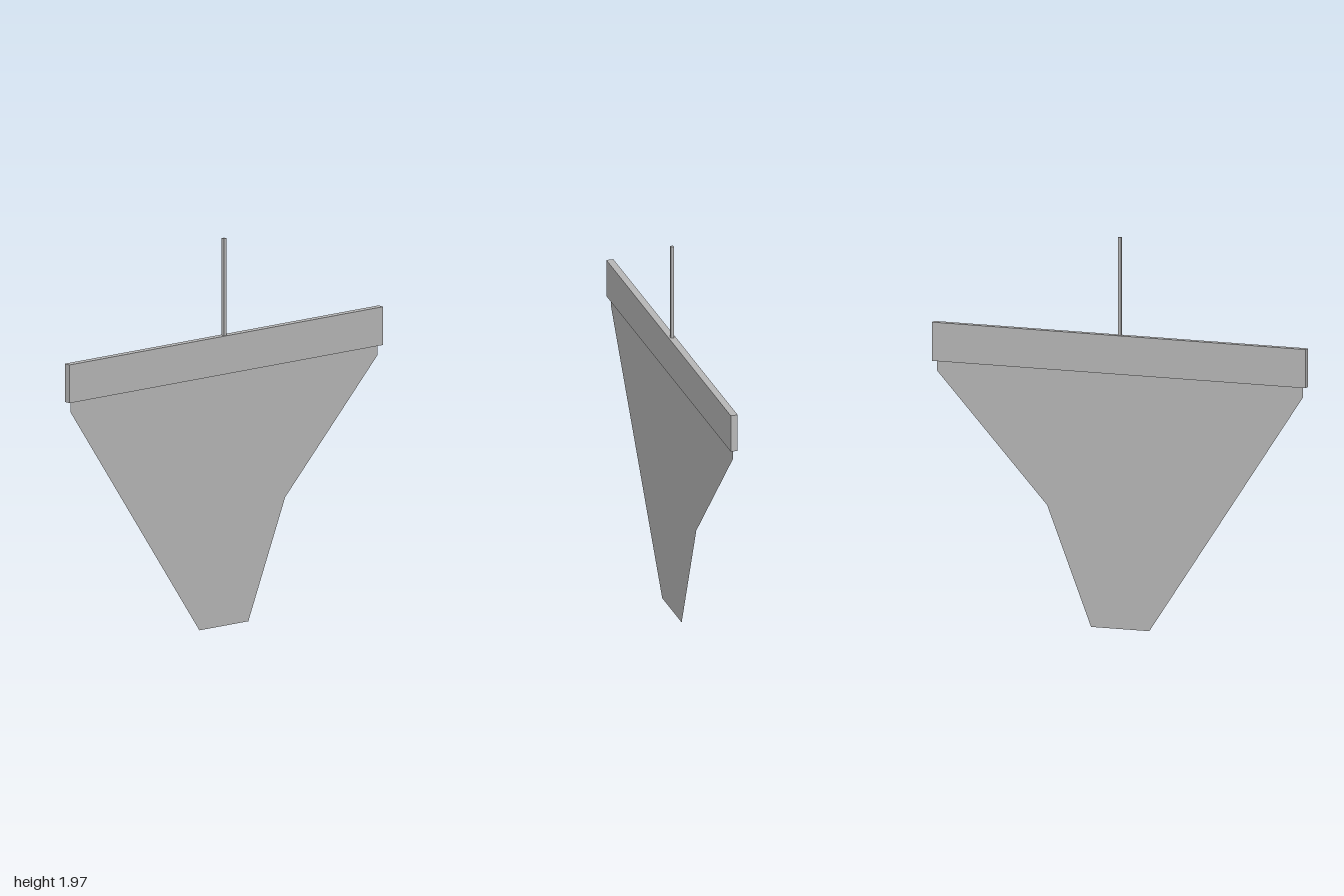
import * as THREE from 'three';

const lightGrey = new THREE.MeshStandardMaterial({ color: 0xb8b8b8, side: THREE.DoubleSide });
lightGrey.name = 'light grey';

const toPoints = (list) => list.map(([x, y]) => new THREE.Vector2(x, y));

export function createModel() {
  const group = new THREE.Group();
  const add = (name, geometry, y = 0) => {
    const mesh = new THREE.Mesh(geometry, lightGrey);
    mesh.name = name;
    mesh.position.y = y;
    group.add(mesh);
  };

  // Six-sided panel set flush into the sheet
  const panelOutline = toPoints([
    [-0.12, 0.055], [0.12, 0.055], [0.195, 0.49],
    [0.075, 0.735], [-0.1, 0.69], [-0.197, 0.415],
  ]);

  // Thin hanging sheet, cut out around the panel
  const sheet = new THREE.Shape(toPoints([
    [-0.157, 0], [0.155, 0], [0.39, 0.595], [0.98, 1.23],
    [0.98, 1.28], [-0.98, 1.28], [-0.98, 1.23],
  ]));
  sheet.holes.push(new THREE.Path(panelOutline));
  add('sheet', new THREE.ShapeGeometry(sheet));
  add('insetPanel', new THREE.ShapeGeometry(new THREE.Shape(panelOutline)));

  // Crossbar holding the sheet, and the square rod it hangs from
  add('crossbar', new THREE.BoxGeometry(2, 0.194, 0.036), 1.377);
  add('hangingRod', new THREE.BoxGeometry(0.016, 0.492, 0.016), 1.72);

  return group;
}
